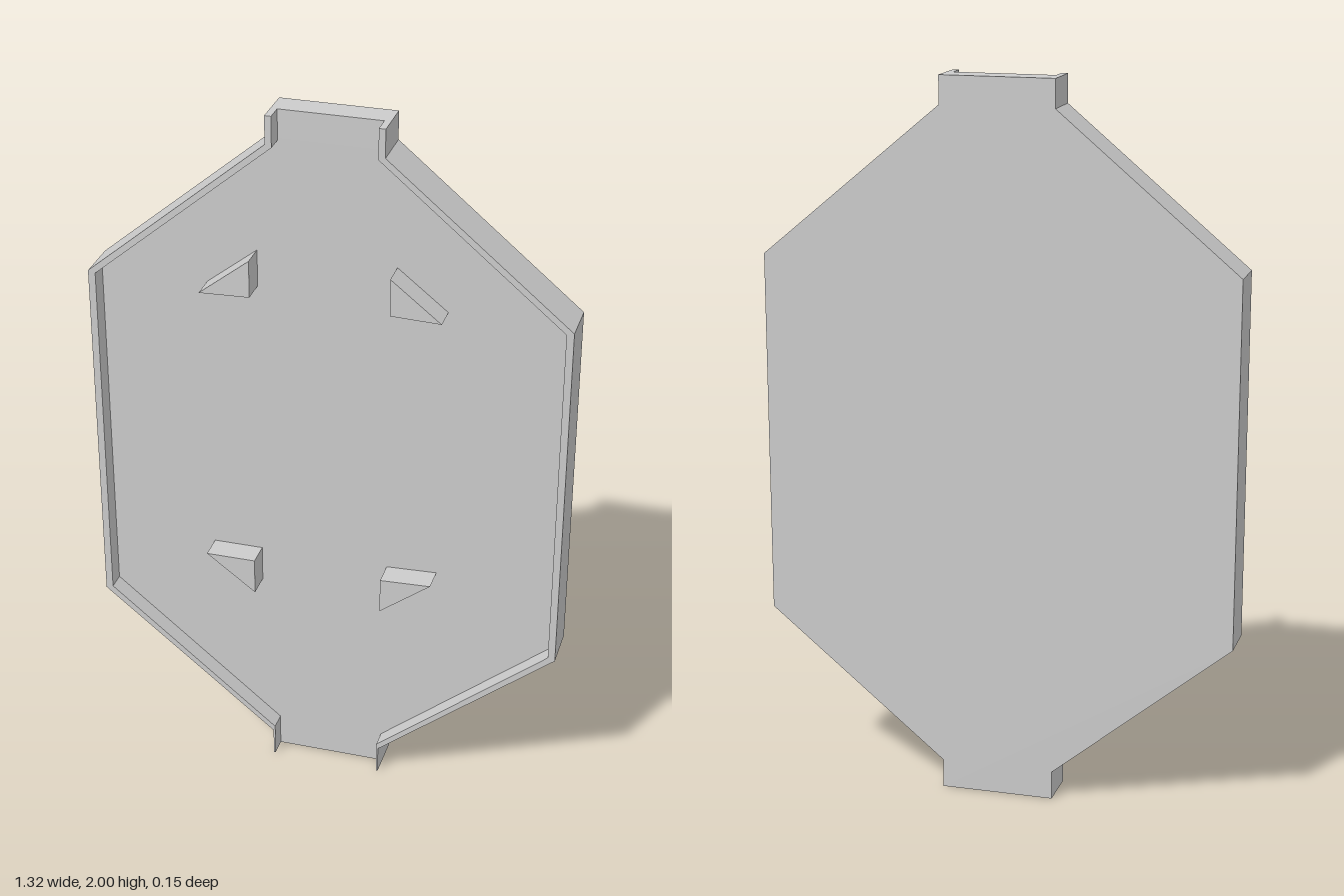
import * as THREE from 'three';

const material = new THREE.MeshStandardMaterial({ color: 0xcccccc, flatShading: true });

// Extrude a flat outline between two depths
function slab(name, points, z0, z1) {
  const shape = new THREE.Shape(points.map(([x, y]) => new THREE.Vector2(x, y)));
  const geometry = new THREE.ExtrudeGeometry(shape, { depth: z1 - z0, bevelEnabled: false });
  geometry.translate(0, 0, z0);
  const mesh = new THREE.Mesh(geometry, material);
  mesh.name = name;
  return mesh;
}

const mirror = (points) => points.map(([x, y]) => [-x, y]).reverse();

export function createModel() {
  const group = new THREE.Group();
  group.name = 'panel';

  // Outline of the left half, from bottom tab to top tab
  const outer = [[0.158, 0], [0.158, 0.08], [0.658, 0.49], [0.658, 1.503], [0.158, 1.922], [0.158, 2]];
  const inner = [[0.153, 0], [0.153, 0.095], [0.638, 0.497], [0.638, 1.497], [0.14, 1.915], [0.14, 2]];

  // Back plate
  group.add(slab('backPlate', [...outer, ...mirror(outer)], -0.075, 0));

  // Raised rims along both sides, open at the top and bottom tabs
  const rim = [...outer, ...[...inner].reverse()];
  group.add(slab('leftRim', rim, 0, 0.052));
  group.add(slab('rightRim', mirror(rim), 0, 0.052));

  // Triangular corner pegs
  const pegs = {
    upperRightPeg: [[-0.34, 1.49], [-0.2, 1.495], [-0.2, 1.6]],
    upperLeftPeg: [[0.18, 1.6], [0.18, 1.495], [0.318, 1.49]],
    lowerRightPeg: [[-0.34, 0.675], [-0.2, 0.57], [-0.2, 0.675]],
    lowerLeftPeg: [[0.163, 0.575], [0.305, 0.683], [0.163, 0.677]],
  };
  for (const [name, points] of Object.entries(pegs)) group.add(slab(name, points, 0, 0.072));

  return group;
}
